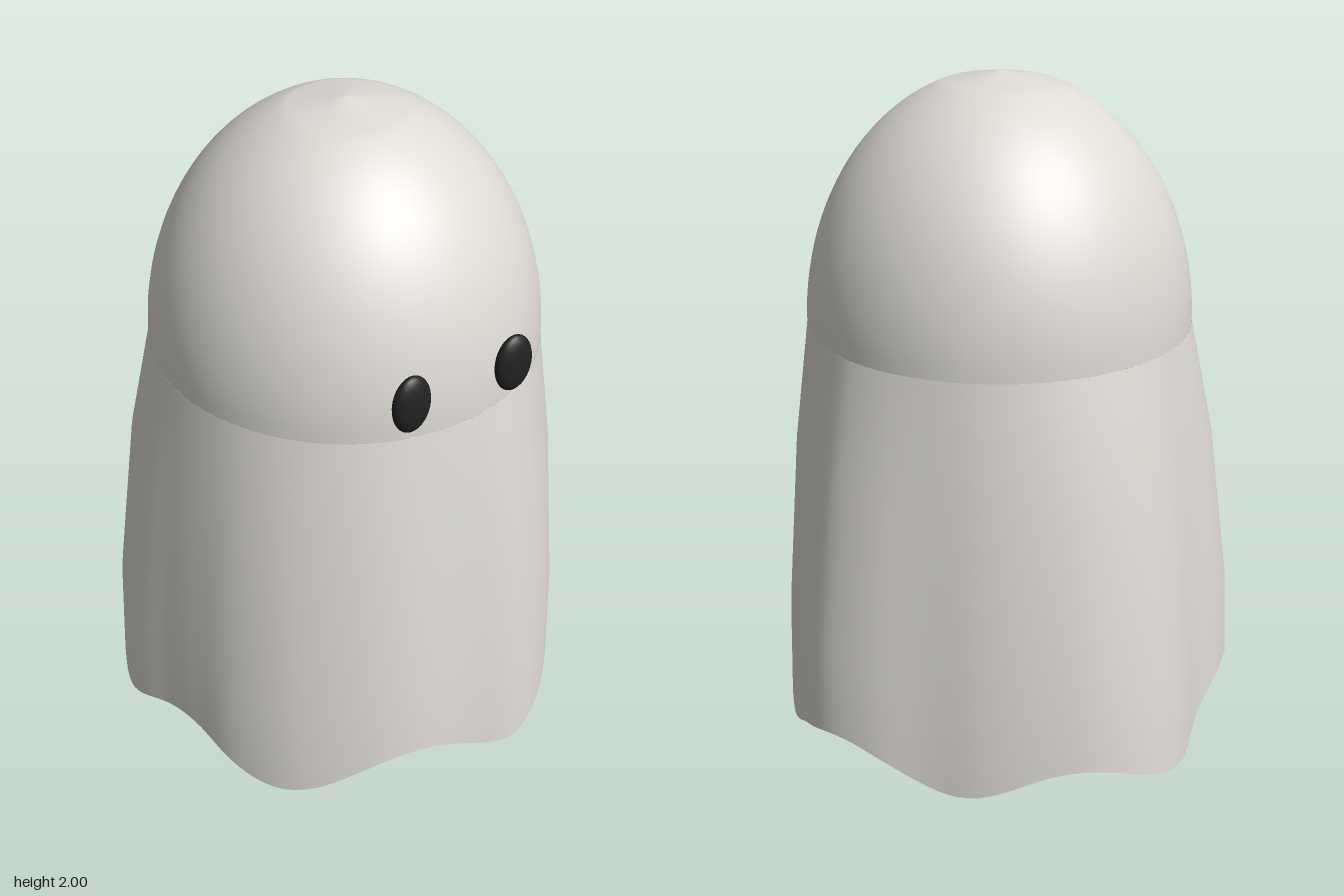
import * as THREE from 'three';

const CX = -0.005, CZ = 0.025;      // head axis
const NECK_Y = 1.26, NECK_R = 0.58;

// Plan outline of the rippled hem (x, z), going round once.
const HEM = [
  [0, -.745], [.16, -.715], [.32, -.625], [.45, -.52], [.56, -.385], [.68, -.24], [.745, -.08],
  [.715, .06], [.66, .22], [.565, .4], [.43, .57], [.32, .672], [.18, .737], [0, .725],
  [-.22, .712], [-.38, .655], [-.545, .535], [-.645, .38], [-.685, .22], [-.715, .08], [-.75, -.08],
  [-.705, -.24], [-.6, -.415], [-.46, -.535], [-.3, -.61], [-.14, -.715],
];

// Scalloped lower edge: six points, alternating taller and lower arches.
function hemHeight(a) {
  const d = THREE.MathUtils.degToRad;
  return 0.062 - 0.058 * Math.cos(6 * (a - d(17.5))) + 0.02 * Math.cos(3 * (a - d(107)));
}

// Open cloth between the round neck and the rippled hem, built ring by ring.
function cloakGeometry() {
  const curve = new THREE.CatmullRomCurve3(HEM.map(([x, z]) => new THREE.Vector3(x, 0, z)), true);
  const segs = 144;
  const rings = [[0, 0], [0.31, 0.48], [0.76, 0.91], [1, 1]]; // [drop, flare]
  const pos = [], index = [];
  for (const [drop, flare] of rings) {
    for (let i = 0; i < segs; i++) {
      const p = curve.getPoint(i / segs);
      const a = Math.atan2(p.z - CZ, p.x - CX);
      pos.push(
        THREE.MathUtils.lerp(CX + NECK_R * Math.cos(a), p.x, flare),
        THREE.MathUtils.lerp(NECK_Y, hemHeight(a), drop),
        THREE.MathUtils.lerp(CZ + NECK_R * Math.sin(a), p.z, flare),
      );
    }
  }
  for (let r = 0; r < rings.length - 1; r++) {
    for (let i = 0; i < segs; i++) {
      const a = r * segs + i, b = r * segs + (i + 1) % segs;
      index.push(a, b, a + segs, b, b + segs, a + segs);
    }
  }
  const g = new THREE.BufferGeometry();
  g.setAttribute('position', new THREE.Float32BufferAttribute(pos, 3));
  g.setIndex(index);
  g.computeVertexNormals();
  // Outward faces: the first normal must point away from the axis.
  const n = g.attributes.normal, p = g.attributes.position;
  if (n.getX(0) * (p.getX(0) - CX) + n.getZ(0) * (p.getZ(0) - CZ) < 0) {
    for (let k = 0; k < index.length; k += 3) [index[k], index[k + 1]] = [index[k + 1], index[k]];
    g.setIndex(index);
    g.computeVertexNormals();
  }
  return g;
}

export function createModel() {
  const group = new THREE.Group();
  group.name = 'ghost';

  const cloth = new THREE.MeshStandardMaterial({ color: 0xdedbd5, side: THREE.DoubleSide });
  cloth.name = 'pale cloth';
  const black = new THREE.MeshStandardMaterial({ color: 0x222222 });
  black.name = 'eye black';

  function add(name, geometry, material, x = 0, y = 0, z = 0) {
    const mesh = new THREE.Mesh(geometry, material);
    mesh.name = name;
    mesh.position.set(x, y, z);
    group.add(mesh);
    return mesh;
  }

  // Domed head, with a shallow cone closing the crown
  const profile = [];
  for (let i = 0; i <= 24; i++) {
    const a = (i / 24) * 1.295;
    profile.push(new THREE.Vector2(NECK_R * Math.cos(a), 0.74 * Math.sin(a)));
  }
  profile.push(new THREE.Vector2(0, 0.74));
  add('head', new THREE.LatheGeometry(profile, 72), cloth, CX, NECK_Y, CZ);

  // Draped cloak
  add('cloak', cloakGeometry(), cloth);

  // Oval eyes
  for (const [name, x] of [['rightEye', -0.18], ['leftEye', 0.16]]) {
    add(name, new THREE.SphereGeometry(1, 32, 20), black, x, 1.4, 0.61).scale.set(0.06, 0.09, 0.03);
  }
  return group;
}
